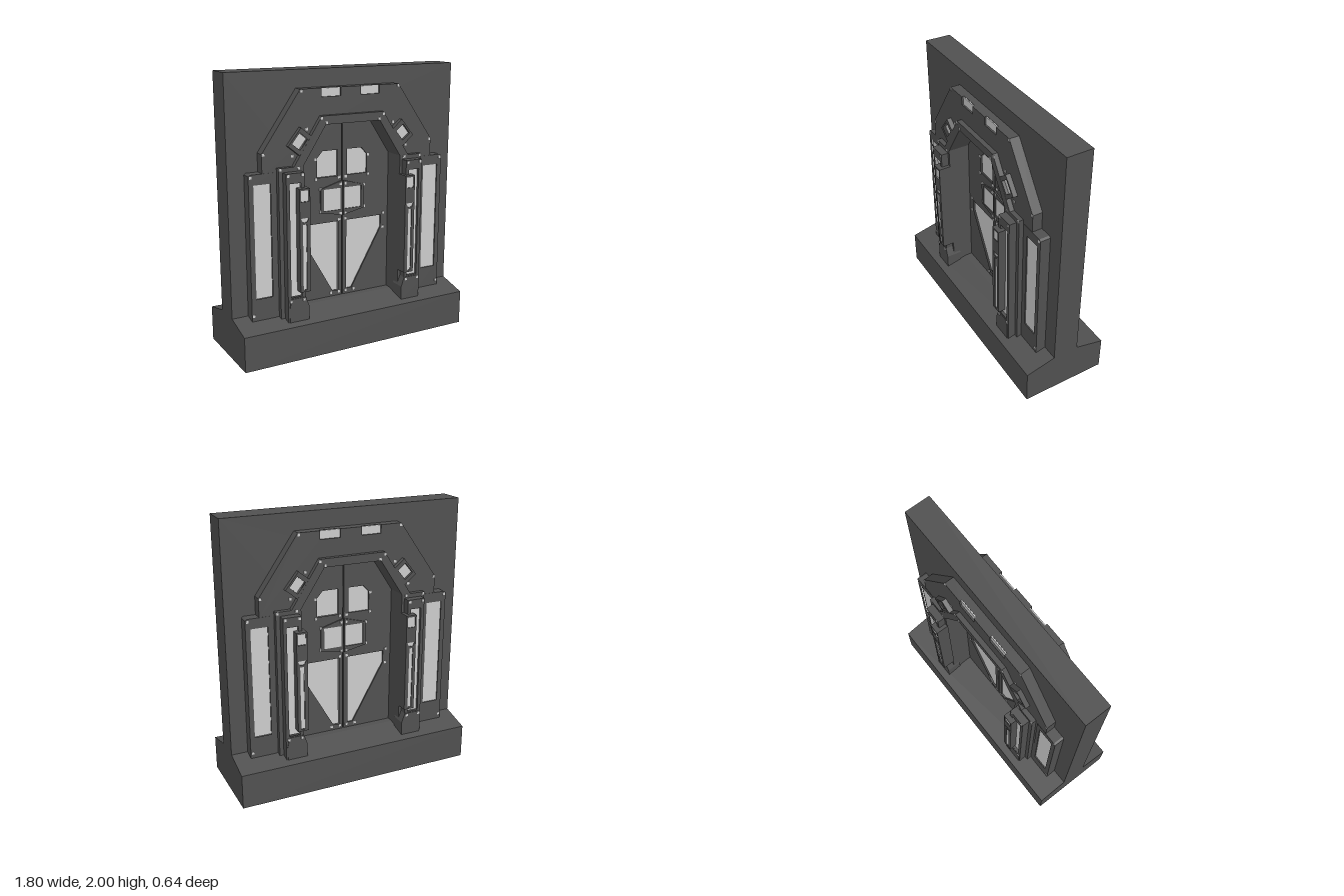
import * as THREE from 'three';

const dark = new THREE.MeshStandardMaterial({ color: 0x505050 });
const light = new THREE.MeshStandardMaterial({ color: 0xcccccc });

const toPoints = (pts) => pts.map(([x, y]) => new THREE.Vector2(x, y));
const flip = (pts, s) => pts.map(([x, y]) => [x * s, y]);
const rect = (x0, x1, y0, y1) => [[x0, y0], [x1, y0], [x1, y1], [x0, y1]];
// Closes a left-right symmetric outline from its +x half
const mirrored = (half) => [...half, ...flip(half, -1).reverse()];

// Flat plate between z0 and z1, with optional cut-outs
function plate(parent, name, outline, z0, z1, holes = [], material = dark) {
  const shape = new THREE.Shape(toPoints(outline));
  holes.forEach((h) => shape.holes.push(new THREE.Path(toPoints(h))));
  const geo = new THREE.ExtrudeGeometry(shape, { depth: z1 - z0, bevelEnabled: false });
  geo.translate(0, 0, z0);
  const mesh = new THREE.Mesh(geo, material);
  mesh.name = name;
  parent.add(mesh);
  return mesh;
}

// Plate whose cut-outs are filled with sunken light panels
function panelled(parent, name, outline, z0, z1, holes, sink = 0.012) {
  plate(parent, name, outline, z0, z1, holes);
  holes.forEach((h) => plate(parent, name + 'Panel', h, z0, z1 - sink, [], light));
}

// Corners of a rectangle turned about its centre
function turnedRect(cx, cy, w, h, a) {
  const c = Math.cos(a), s = Math.sin(a);
  return rect(-w / 2, w / 2, -h / 2, h / 2).map(([x, y]) => [cx + x * c - y * s, cy + x * s + y * c]);
}

// Arch outline, open at the bottom around the doorway
const doorway = mirrored([[0.39, 0.27], [0.39, 1.36], [0.215, 1.63]]);
const arch = (outerHalf) => [...mirrored(outerHalf), ...[...doorway].reverse()];

function buildFace() {
  const face = new THREE.Group();
  face.name = 'gateFace';

  // Outer arch with two notches in its top edge
  plate(face, 'outerArch', arch([
    [0.6, 0.27], [0.6, 1.32], [0.68, 1.32], [0.68, 1.46], [0.39, 1.875],
    [0.23, 1.875], [0.23, 1.815], [0.08, 1.815], [0.08, 1.875],
  ]), 0.09, 0.17);

  // Inner arch and its jambs
  plate(face, 'innerArch', arch([
    [0.575, 0.27], [0.575, 1.36], [0.46, 1.36], [0.245, 1.69],
  ]), 0.1, 0.205);

  for (const s of [1, -1]) {
    const f = (pts) => flip(pts, s);
    plate(face, 'topLampBacking', f(rect(0.08, 0.23, 1.81, 1.875)), 0.09, 0.15);
    plate(face, 'topLamp', f(rect(0.08, 0.23, 1.81, 1.872)), 0.15, 0.158, [], light);

    // Outer pilaster
    panelled(face, 'pilaster', f([
      [0.59, 0.27], [0.78, 0.27], [0.78, 1.32], [0.765, 1.33], [0.59, 1.33],
    ]), 0.09, 0.172, [f(rect(0.62, 0.745, 0.45, 1.257))], 0.008);

    // Inner column, its foot and the slim pillar in front
    panelled(face, 'column', f(rect(0.41, 0.545, 0.27, 1.33)), 0.15, 0.26,
      [f(rect(0.435, 0.52, 0.45, 1.26))], 0.02);
    plate(face, 'columnFoot', f([
      [0.385, 0.265], [0.535, 0.265], [0.535, 0.37], [0.52, 0.44], [0.41, 0.44], [0.385, 0.37],
    ]), 0.15, 0.265);
    panelled(face, 'pillar', f(rect(0.385, 0.465, 0.49, 1.225)), 0.2, 0.295, [
      f(rect(0.395, 0.455, 1.135, 1.212)),
      f([[0.395, 1.02], [0.457, 1.02], [0.443, 0.99], [0.41, 0.99]]),
      f(rect(0.413, 0.442, 0.505, 0.975)),
    ], 0.006);

    // Tilted lamp block on the arch shoulder
    panelled(face, 'archLamp', f(turnedRect(0.405, 1.525, 0.12, 0.155, 0.68)), 0.1, 0.204,
      [f(turnedRect(0.413, 1.53, 0.075, 0.092, 0.68))], 0.02);

    // Door leaf with upper window and tapering lower panel
    panelled(face, 'doorLeaf', f([
      [0.004, 0.27], [0.4, 0.27], [0.4, 1.37], [0.22, 1.64], [0.004, 1.64],
    ]), 0.01, 0.045, [
      f([[0.04, 1.225], [0.205, 1.225], [0.205, 1.365], [0.16, 1.415], [0.04, 1.415]]),
      f([[0.035, 0.35], [0.08, 0.35], [0.33, 0.79], [0.33, 0.885], [0.035, 0.885]]),
    ]);
    panelled(face, 'lockPlate', f([
      [0.004, 0.93], [0.18, 0.965], [0.18, 1.14], [0.004, 1.19],
    ]), 0.03, 0.055, [f(rect(0.015, 0.155, 0.975, 1.135))], 0.008);

    // Square studs at the corners of each layer
    const studs = [
      [0.385, 1.862, 0.17], [0.67, 1.455, 0.17], [0.765, 1.31, 0.17], [0.765, 0.33, 0.17],
      [0.248, 1.675, 0.205], [0.21, 1.642, 0.205], [0.345, 1.605, 0.17], [0.457, 1.43, 0.17],
      [0.565, 1.35, 0.205], [0.425, 1.35, 0.205], [0.425, 1.315, 0.26], [0.53, 1.315, 0.26],
      [0.525, 0.425, 0.265], [0.425, 0.425, 0.265],
      [0.215, 1.36, 0.045], [0.215, 1.215, 0.045], [0.027, 1.215, 0.045],
      [0.18, 1.14, 0.05], [0.18, 0.975, 0.05], [0.02, 1.165, 0.055], [0.02, 0.945, 0.055],
      [0.35, 0.9, 0.045], [0.35, 0.79, 0.045], [0.027, 0.9, 0.045],
      [0.097, 0.338, 0.045], [0.027, 0.338, 0.045],
    ];
    for (const [x, y, z] of studs) {
      const stud = new THREE.Mesh(new THREE.BoxGeometry(0.018, 0.018, 0.008), light);
      stud.position.set(x * s, y, z);
      stud.name = 'stud';
      face.add(stud);
    }
  }
  return face;
}

export function createModel() {
  const model = new THREE.Group();
  model.name = 'gateway';

  // Wall slab with the doorway cut through, and the core behind the doors
  plate(model, 'wall', rect(-0.9, 0.9, 0.2, 2), -0.097, 0.097, [doorway]);
  plate(model, 'doorCore', mirrored([[0.4, 0.27], [0.4, 1.37], [0.22, 1.64]]), -0.015, 0.015);

  // Plinth with sloped shoulders, extruded along x
  const plinth = plate(model, 'plinth', mirrored([[0.32, 0], [0.32, 0.255], [0.097, 0.31]]), -0.9, 0.9);
  plinth.rotation.y = Math.PI / 2;

  // The same gate on both sides of the wall
  const front = buildFace();
  const back = buildFace();
  back.rotation.y = Math.PI;
  model.add(front, back);
  return model;
}
